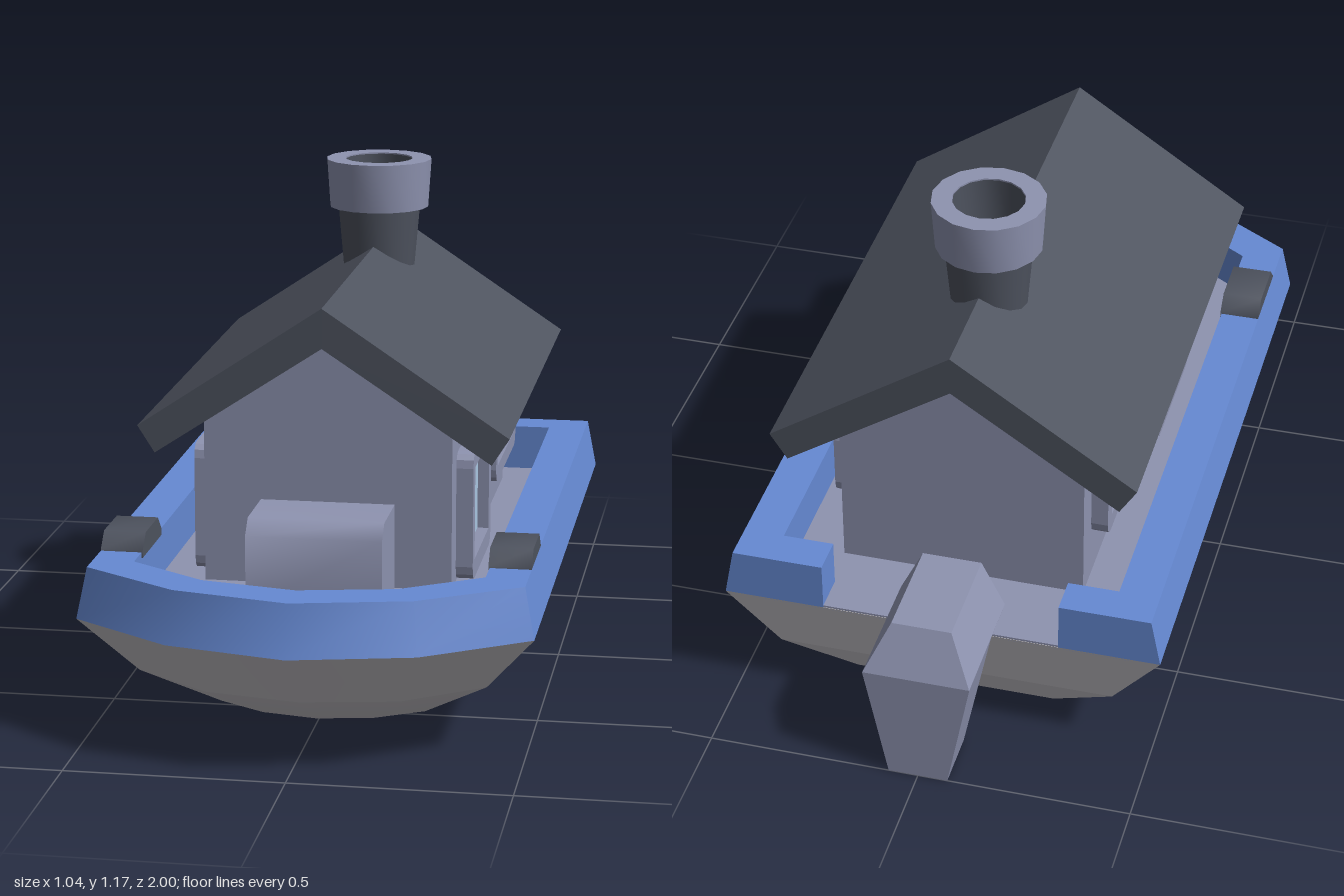
import * as THREE from 'three';
import { toCreasedNormals } from 'three/addons/utils/BufferGeometryUtils.js';

const mat = (name, color) => Object.assign(new THREE.MeshStandardMaterial({ color }), { name });

// Skin between equal-sized closed rings of [x, y, z], with end caps;
// edges sharper than the crease angle stay hard
function loft(rings, crease = 0.5) {
  const out = [];
  const tri = (a, b, c) => out.push(...a, ...b, ...c);
  const n = rings[0].length;
  for (let r = 0; r < rings.length - 1; r++) {
    const a = rings[r], b = rings[r + 1];
    for (let i = 0; i < n; i++) {
      const j = (i + 1) % n;
      tri(a[i], b[i], b[j]);
      tri(a[i], b[j], a[j]);
    }
  }
  const first = rings[0], last = rings[rings.length - 1];
  for (let i = 1; i < n - 1; i++) {
    tri(first[0], first[i], first[i + 1]);
    tri(last[0], last[i + 1], last[i]);
  }
  const g = new THREE.BufferGeometry();
  g.setAttribute('position', new THREE.Float32BufferAttribute(out, 3));
  return toCreasedNormals(g, crease);
}

// Boat outline at height y: stern, shoulder, bow quarter, bow tip, then mirrored
function outline(y, stern, [x, z], [qx, qz], tip) {
  const half = [[x, y, stern], [x, y, z], [qx, y, qz]];
  return [...half, [0, y, tip], ...half.map(([a, b, c]) => [-a, b, c]).reverse()];
}

const poly = (pts) => new THREE.Shape(pts.map(([a, b]) => new THREE.Vector2(a, b)));
const extrude = (shape, depth) =>
  new THREE.ExtrudeGeometry(shape, { depth, bevelEnabled: false, curveSegments: 3 });

// Profile in (x, y), running from z0 to z1
const alongZ = (shape, z0, z1) => extrude(shape, z1 - z0).translate(0, 0, z0);
// Profile in (z, y), running from x0 to x1
const alongX = (shape, x0, x1) => extrude(shape, x1 - x0).rotateY(-Math.PI / 2).translate(x1, 0, 0);

function roundedRect(x0, y0, x1, y1, r) {
  const s = new THREE.Shape();
  s.moveTo(x0 + r, y0).lineTo(x1 - r, y0).quadraticCurveTo(x1, y0, x1, y0 + r);
  s.lineTo(x1, y1 - r).quadraticCurveTo(x1, y1, x1 - r, y1);
  s.lineTo(x0 + r, y1).quadraticCurveTo(x0, y1, x0, y1 - r);
  s.lineTo(x0, y0 + r).quadraticCurveTo(x0, y0, x0 + r, y0);
  return s;
}

export function createModel() {
  const model = new THREE.Group();
  model.name = 'houseboat';
  const hullGrey = mat('hullGrey', 0xc8c5cb);
  const blue = mat('railBlue', 0x668ad4);
  const lavender = mat('cabinLavender', 0x8e93b0);
  const slate = mat('roofSlate', 0x4e535f);
  const glass = mat('glass', 0xacc9e4);
  const add = (name, geometry, material) => {
    const mesh = new THREE.Mesh(geometry, material);
    mesh.name = name;
    model.add(mesh);
  };

  // Hull in two bands with a hard chine between them, and the deck
  const keel = outline(0.012, -0.68, [0.24, 0.51], [0.13, 0.575], 0.6);
  const chine = outline(0.128, -0.765, [0.4, 0.66], [0.22, 0.79], 0.83);
  const sheer = outline(0.28, -0.8, [0.518, 0.775], [0.28, 0.935], 1.0);
  add('hullBottom', loft([keel, chine]), hullGrey);
  add('hullTopsides', loft([chine, sheer]), hullGrey);
  add('deck', loft([0.275, 0.285].map((y) =>
    outline(y, -0.799, [0.45, 0.73], [0.25, 0.86], 0.91))), lavender);

  // Rail stations: outer foot, outer top, inner edge, as (x, z)
  const stations = [
    [[0.28, -0.8], [0.28, -0.8], [0.28, -0.71]],
    [[0.518, -0.8], [0.495, -0.8], [0.4, -0.71]],
    [[0.518, 0.775], [0.495, 0.76], [0.4, 0.7]],
    [[0.28, 0.935], [0.268, 0.905], [0.22, 0.82]],
    [[0, 1.0], [0, 0.965], [0, 0.865]],
  ];
  const mirrored = stations.slice(0, 4).reverse().map((s) => s.map(([x, z]) => [-x, z]));
  add('rail', loft([...stations, ...mirrored].map(([foot, top, inner]) => [
    [inner[0], 0.28, inner[1]], [inner[0], 0.398, inner[1]],
    [top[0], 0.398, top[1]], [foot[0], 0.28, foot[1]],
  ])), blue);

  // Cabin, gabled roof and bow locker
  add('cabin', alongZ(poly([
    [-0.29, 0.28], [0.29, 0.28], [0.29, 0.685], [0, 0.875], [-0.29, 0.685],
  ]), -0.603, 0.44), lavender);
  add('roof', alongZ(poly([
    [0, 0.864], [0.39, 0.607], [0.43, 0.67], [0, 0.957], [-0.43, 0.67], [-0.39, 0.607],
  ]), -0.685, 0.518), slate);
  add('bowLocker', toCreasedNormals(alongX(poly([
    [0.43, 0.28], [0.635, 0.28], [0.635, 0.45], [0.6, 0.485], [0.43, 0.485],
  ]), -0.157, 0.157), 1), lavender);

  // Doors, windows and rounded rail cleats on both sides
  const openings = [
    { name: 'door', frame: [0.012, 0.285, 0.363, 0.592], pane: [0.053, 0.33, 0.328, 0.553] },
    { name: 'window', frame: [-0.53, 0.4, -0.1, 0.592], pane: [-0.49, 0.438, -0.138, 0.553] },
  ];
  for (const side of [1, -1]) {
    const label = side > 0 ? 'left' : 'right';
    const span = (a, b) => (side > 0 ? [a, b] : [-b, -a]);
    for (const { name, frame, pane } of openings) {
      const [z0, y0, z1, y1] = pane;
      const corners = [[z0, y0], [z1, y0], [z1, y1], [z0, y1]];
      const shape = roundedRect(...frame, 0.035);
      shape.holes.push(poly(corners));
      add(`${label}_${name}Frame`, alongX(shape, ...span(0.285, 0.33)), lavender);
      add(`${label}_${name}Glass`, alongX(poly(corners), ...span(0.295, 0.303)), glass);
    }
    add(`${label}_cleat`, toCreasedNormals(alongX(poly([
      [0.428, 0.385], [0.625, 0.385], [0.625, 0.402], [0.59, 0.437], [0.463, 0.437], [0.428, 0.402],
    ]), ...span(0.397, 0.495)), 1), slate);
  }

  // Chimney pipe, collar and flue
  const turned = (pts) => toCreasedNormals(new THREE.LatheGeometry(
    pts.map(([r, y]) => new THREE.Vector2(r, y)), 16).translate(0, 0, -0.345), 0.6);
  add('chimneyPipe', turned([[0.083, 0.82], [0.104, 1.055]]), slate);
  add('chimneyCollar', turned([[0.09, 1.046], [0.124, 1.046], [0.132, 1.166], [0.084, 1.166], [0.084, 1.15]]), lavender);
  add('chimneyFlue', turned([[0.083, 1.163], [0.083, 1.03], [0, 1.03]]), slate);

  // Outboard motor hung over the stern, all edges hard
  const slab = (y, x, back, front) => [[x, y, back], [x, y, front], [-x, y, front], [-x, y, back]];
  add('outboardMotor', loft([
    slab(0, 0.07, -1.0, -0.86),
    slab(0.284, 0.125, -1.0, -0.812),
    slab(0.286, 0.125, -1.0, -0.69),
    slab(0.398, 0.07, -0.945, -0.69),
  ], 0.1), lavender);

  return model;
}
